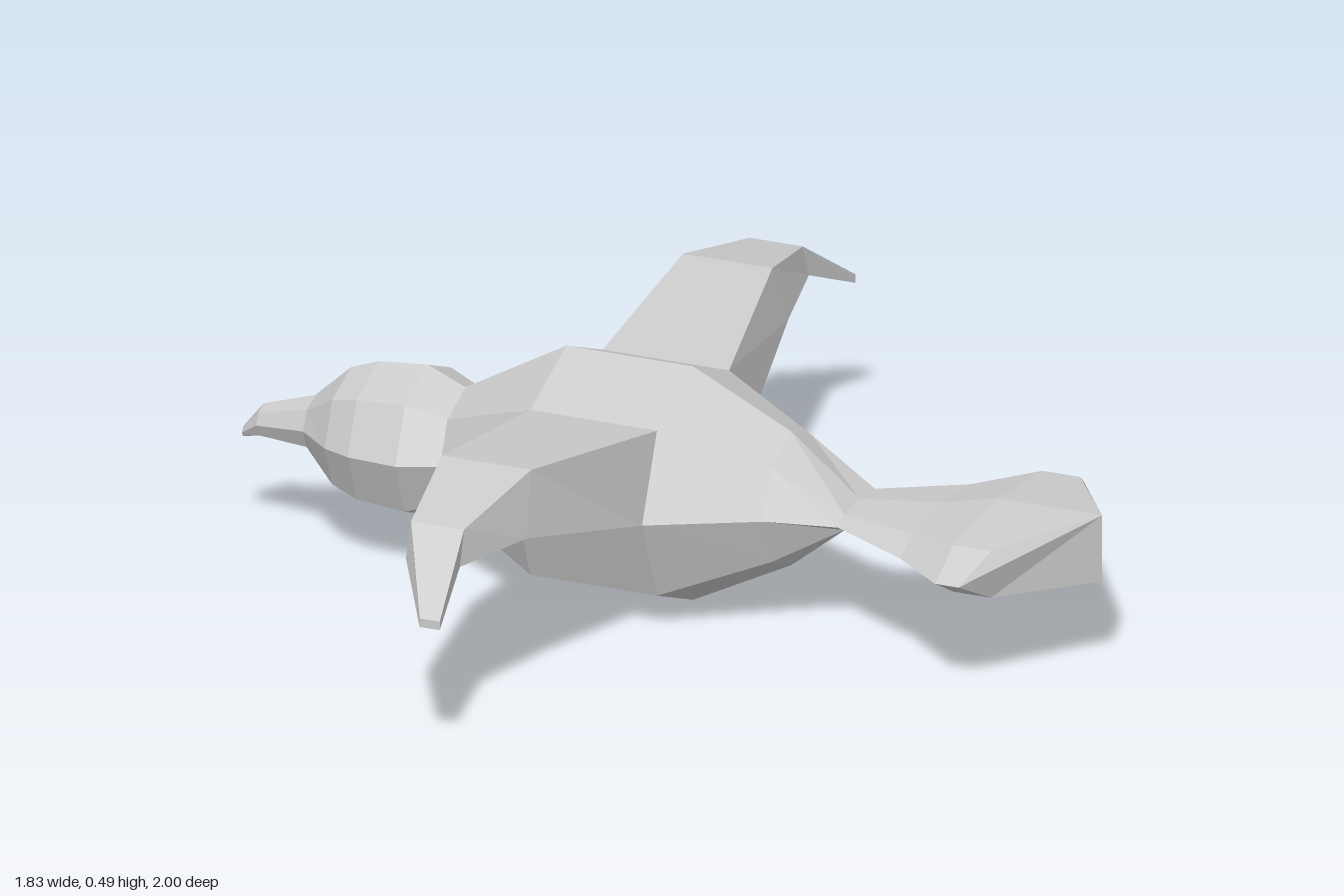
import * as THREE from 'three';

const material = new THREE.MeshStandardMaterial({ color: 0xcccccc, flatShading: true });

// Skin a list of equal-length rings (counter-clockwise about the travel direction) and cap both ends
function loft(name, rings) {
  const n = rings[0].length;
  const index = [];
  for (let i = 0; i < rings.length - 1; i++) {
    for (let j = 0; j < n; j++) {
      const k = (j + 1) % n;
      const a = i * n + j, b = i * n + k, c = a + n, d = b + n;
      index.push(a, b, d, a, d, c);
    }
  }
  const end = (rings.length - 1) * n;
  for (let j = 1; j < n - 1; j++) {
    index.push(0, j + 1, j);
    index.push(end, end + j, end + j + 1);
  }
  const indexed = new THREE.BufferGeometry();
  indexed.setAttribute('position', new THREE.Float32BufferAttribute(rings.flat(2), 3));
  indexed.setIndex(index);
  const geometry = indexed.toNonIndexed();
  geometry.computeVertexNormals();
  const mesh = new THREE.Mesh(geometry, material);
  mesh.name = name;
  return mesh;
}

// Eight-sided elliptical ring across x, from its bottom, top and half width
function ring([x, bottom, top, halfWidth]) {
  const points = [];
  for (let j = 0; j < 8; j++) {
    const a = (j * Math.PI) / 4;
    points.push([x, (top + bottom) / 2 + ((top - bottom) / 2) * Math.cos(a), halfWidth * Math.sin(a)]);
  }
  return points;
}

// Four-sided wing section: upper and lower edges at their own span, height and chord
function wingRing([zTop, yTop, frontTop, backTop, zLow, yLow, frontLow, backLow], side) {
  const points = [
    [frontTop, yTop, side * zTop],
    [frontLow, yLow, side * zLow],
    [backLow, yLow, side * zLow],
    [backTop, yTop, side * zTop],
  ];
  return side > 0 ? points : points.reverse();
}

export function createModel() {
  const bird = new THREE.Group();
  bird.name = 'bird';

  // Beak, hooked slightly downward
  bird.add(loft('beak', [
    [-0.915, 0.19, 0.215, 0.015],
    [-0.875, 0.197, 0.265, 0.036],
    [-0.765, 0.19, 0.30, 0.06],
  ].map(ring)));

  // Head
  bird.add(loft('head', [
    [-0.765, 0.19, 0.30, 0.06],
    [-0.69, 0.12, 0.37, 0.125],
    [-0.63, 0.098, 0.393, 0.15],
    [-0.525, 0.088, 0.402, 0.157],
    [-0.445, 0.122, 0.368, 0.123],
  ].map(ring)));

  // Body
  bird.add(loft('body', [
    [-0.445, 0.122, 0.368, 0.123],
    [-0.23, 0, 0.49, 0.245],
    [0.04, 0, 0.49, 0.245],
    [0.25, 0.107, 0.387, 0.135],
    [0.395, 0.224, 0.27, 0.105],
  ].map(ring)));

  // Tail fan, its rear edge drawn out to a vertical ridge
  const tail = [
    [0.395, 0.224, 0.27, 0.105],
    [0.57, 0.20, 0.29, 0.20],
    [0.69, 0.18, 0.318, 0.303],
    [0.74, 0.18, 0.318, 0.303],
  ].map(ring);
  const rearX = [0.912, 0.77, 0.74, 0.77];
  tail[3].forEach((p, j) => { p[0] = rearX[j % 4]; });
  bird.add(loft('tail', tail));

  // Wings
  const sections = [
    [0.173, 0.418, -0.23, 0.04, 0.245, 0.245, -0.23, 0.04],
    [0.58, 0.47, -0.238, -0.048, 0.63, 0.346, -0.238, -0.036],
    [0.815, 0.424, -0.2, -0.087, 0.84, 0.355, -0.2, -0.085],
    [1.0, 0.303, -0.1, -0.057, 1.0, 0.285, -0.1, -0.057],
  ];
  for (const side of [1, -1]) {
    bird.add(loft(side > 0 ? 'frontWing' : 'backWing', sections.map((s) => wingRing(s, side))));
  }

  return bird;
}
